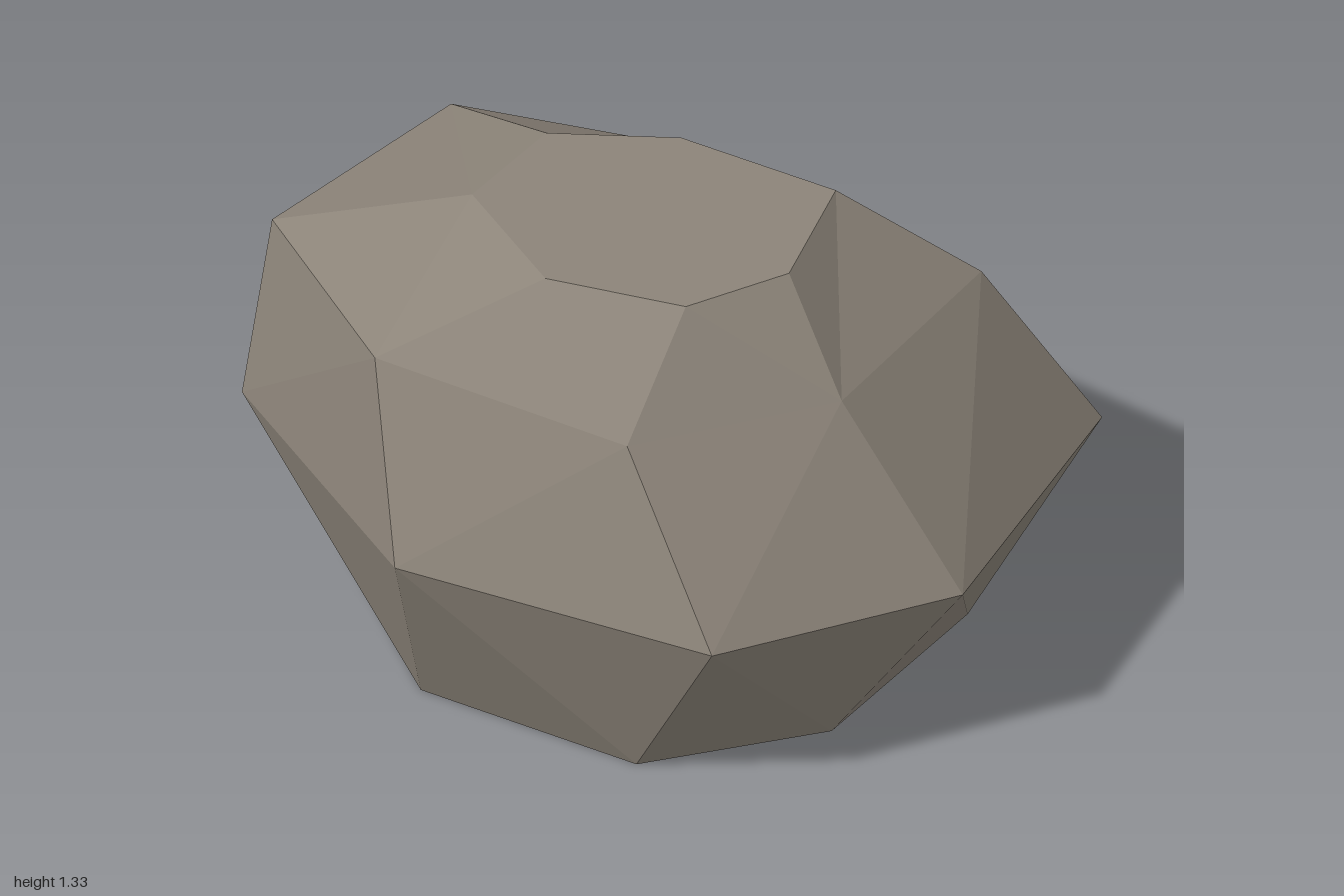
import * as THREE from 'three';

// Four seven-cornered rings from the ground to the top, each corner [x, y, z]
const RINGS = [
  [[0.64, 0, 0.08], [0.32, 0, 0.49], [-0.31, 0, 0.57], [-0.82, 0, 0.21], [-0.68, 0, -0.32], [-0.13, 0, -0.53], [0.63, 0, -0.52]],
  [[1, 0.56, 0], [0.65, 0.58, 0.61], [-0.2, 0.61, 0.83], [-1, 0.55, 0.41], [-0.94, 0.59, -0.34], [-0.22, 0.52, -0.74], [0.83, 0.54, -0.83]],
  [[0.65, 1.06, 0.05], [0.32, 1.06, 0.53], [-0.39, 1.1, 0.66], [-1, 1.03, 0.28], [-0.88, 1.08, -0.33], [-0.26, 1.04, -0.61], [0.6, 1.04, -0.62]],
  [[0.43, 1.33, -0.02], [0.3, 1.33, 0.25], [-0.06, 1.33, 0.37], [-0.42, 1.33, 0.2], [-0.42, 1.33, -0.12], [-0.13, 1.33, -0.31], [0.32, 1.33, -0.37]],
];

function buildRock() {
  const rings = RINGS.map((ring) => ring.map((p) => new THREE.Vector3(...p)));
  const sides = rings[0].length;
  const points = [];
  const tri = (...corners) => points.push(...corners);

  // Side facets: each quad is split along its shorter diagonal
  for (let i = 0; i < rings.length - 1; i++) {
    for (let j = 0; j < sides; j++) {
      const k = (j + 1) % sides;
      const a = rings[i][j], b = rings[i][k];
      const c = rings[i + 1][j], d = rings[i + 1][k];
      if (b.distanceTo(c) < a.distanceTo(d)) {
        tri(a, c, b);
        tri(c, d, b);
      } else {
        tri(a, c, d);
        tri(a, d, b);
      }
    }
  }

  // Flat underside and flat top
  const base = rings[0], top = rings[rings.length - 1];
  for (let j = 1; j < sides - 1; j++) {
    tri(base[0], base[j], base[j + 1]);
    tri(top[0], top[j + 1], top[j]);
  }

  const geometry = new THREE.BufferGeometry().setFromPoints(points);
  geometry.computeVertexNormals();
  return geometry;
}

export function createModel() {
  const stone = new THREE.MeshStandardMaterial({ color: 0x8c8479, flatShading: true });
  stone.name = 'warm grey stone';

  const rock = new THREE.Mesh(buildRock(), stone);
  rock.name = 'rock';

  const model = new THREE.Group();
  model.name = 'boulder';
  model.add(rock);
  return model;
}
